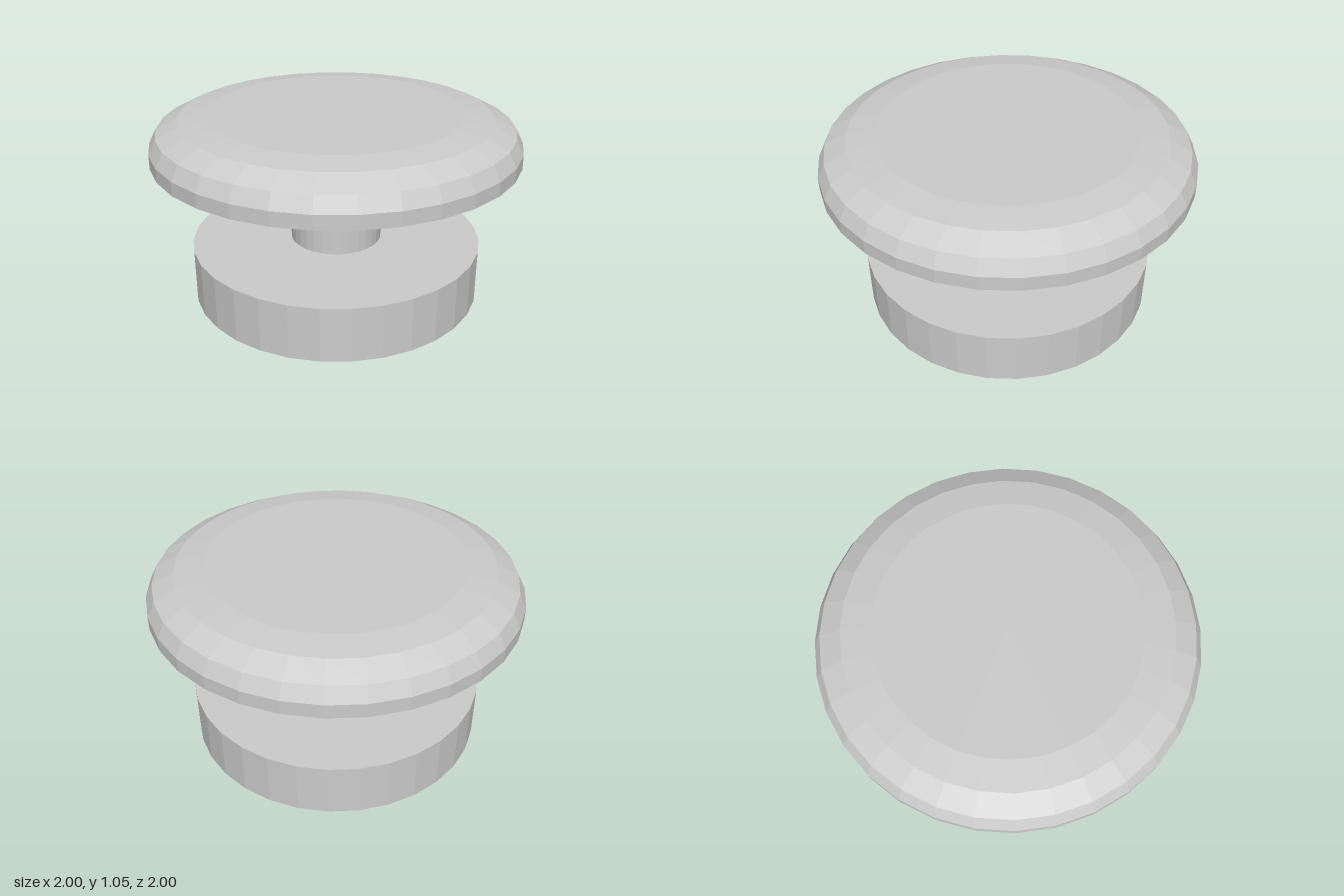
import * as THREE from 'three';

const SIDES = 32;

// Turned part: profile of [radius, height] pairs, listed from bottom to top
function turned(name, profile, side = THREE.FrontSide) {
  const points = profile.map(([r, y]) => new THREE.Vector2(r, y));
  const material = new THREE.MeshStandardMaterial({ color: 0xcccccc, flatShading: true, side });
  const mesh = new THREE.Mesh(new THREE.LatheGeometry(points, SIDES), material);
  mesh.name = name;
  return mesh;
}

export function createModel() {
  const model = new THREE.Group();
  model.name = 'mushroomButton';

  // Base: thin hollow drum, closed on top and open underneath
  model.add(turned('base', [[0.81, 0], [0.81, 0.305], [0, 0.305]], THREE.DoubleSide));

  // Stem between base and cap
  model.add(turned('stem', [[0.254, 0.305], [0.254, 0.818]]));

  // Cap: flat underside, short upright rim, rounded shoulder and flat top
  model.add(turned('cap', [
    [0, 0.818], [1, 0.818], [1, 0.893], [0.96, 0.97],
    [0.845, 1.028], [0.69, 1.048], [0, 1.048],
  ]));

  return model;
}
